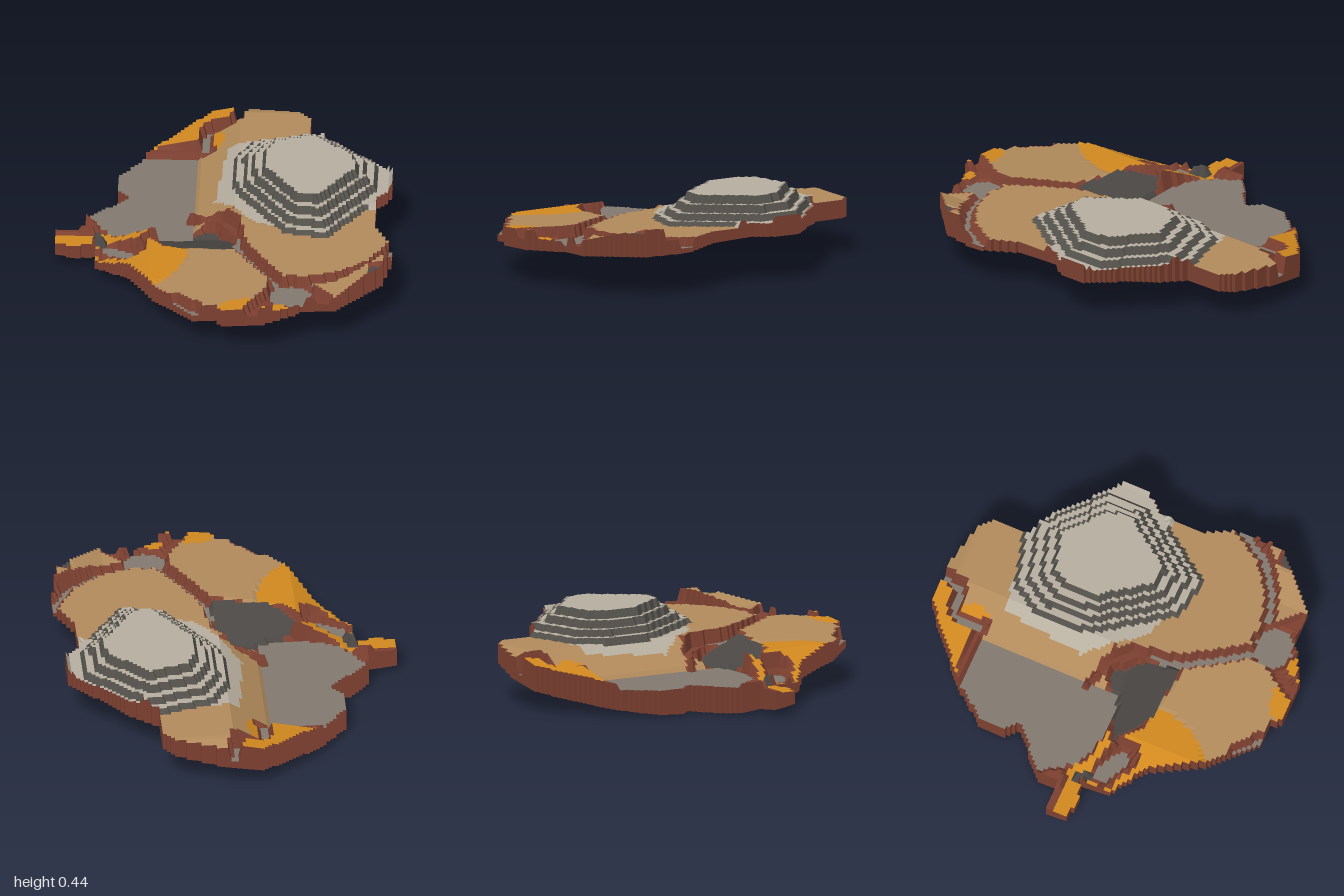
import * as THREE from 'three';
import { mergeVertices } from 'three/addons/utils/BufferGeometryUtils.js';

const STEP = 0.02, N = 100;
const { clamp } = THREE.MathUtils;

const COLOURS = {
  sand: 0xb18a5b, ochre: 0xd0881f, slate: 0x827970, paleStone: 0xb6ae9f, terraceStone: 0x54514b,
  darkRock: 0x4a4744, redEarth: 0x7c4030, underEarth: 0x5a2c20
};

// coastline, clockwise seen from above (x, z pairs)
const COAST = [-.1, -1.01, .06, -1.01, .37, -.93, .43, -.87, .43, -.67, .57, -.6, .89, -.3, .88, -.17, .8, -.06, .8, .18,
  .91, .4, .85, .65, .6, .89, .43, .89, .2, 1.01, 0, 1.01, -.02, .95, -.15, .94, -.35, .75, -.52, .42, -.69, .3, -.7, .12,
  -.82, .17, -.91, .13, -.91, .03, -.77, .02, -.76, -.1, -.52, -.3, -.6, -.37, -.6, -.5, -.45, -.7];

// top outline of the terraced hill; lower tiers are scaled copies
const HILL = [.24, -.45, .46, -.51, .68, -.32, .69, -.16, .5, .11, .36, .08, .19, -.16, .18, -.35];
const tier = s => HILL.map((v, i) => i % 2 ? -.19 + (v + .19) * s : .43 + (v - .43) * s);

// smooth underside: a bowl that climbs towards +x
function bottom(x, z) {
  const rise = .1275 * (1 - Math.cos(Math.PI * (x + .6) / 1.5));
  const d = z + .15;
  const side = d > 0 ? .165 * (1 - Math.exp(-3 * d * d)) : .1 * d * d;
  return rise + side * (1 - rise / .21);
}

// area tests
function inside(p, x, z) {
  let hit = false;
  for (let i = 0, j = p.length - 2; i < p.length; j = i, i += 2) {
    if ((p[i + 1] > z) !== (p[j + 1] > z) &&
      x < (p[j] - p[i]) * (z - p[i + 1]) / (p[j + 1] - p[i + 1]) + p[i]) hit = !hit;
  }
  return hit;
}
const poly = (...p) => (x, z) => inside(p, x, z);
const oval = (cx, cz, rx, rz) => (x, z) => Math.hypot((x - cx) / rx, (z - cz) / rz) < 1;
const path = (w, ...p) => (x, z) => {
  for (let i = 0; i + 3 < p.length; i += 2) {
    const dx = p[i + 2] - p[i], dz = p[i + 3] - p[i + 1];
    const t = clamp(((x - p[i]) * dx + (z - p[i + 1]) * dz) / (dx * dx + dz * dz), 0, 1);
    if (Math.hypot(x - p[i] - dx * t, z - p[i + 1] - dz * t) < w) return true;
  }
  return false;
};

// ground heights of the larger plates
const flat = y => () => y;
const northGround = (x, z) => .3 - Math.max(0, .04 - x) * .66 - Math.max(0, -.93 - z) * .4;
const southGround = x => .285 + .09 * x;
const westGround = x => clamp(.25 + (x + .42) * .5, .13, .26);
const northOchreGround = x => .235 + (x + .2) * .22;
const rockGround = (x, z) => clamp(.155 + (z - .12) * .45, .15, .275);

// regions in order of priority: the first whose area holds a cell claims it
const regions = [];
function region(name, top, area, height, wall = 'redEarth') {
  regions.push({ name, top, area, wall, height: (x, z) => Math.max(height(x, z), bottom(x, z) + .02) });
}

// hill and its pale aprons
[.445, .402, .362, .328].forEach((y, i) => {
  const outline = tier(1.03 + i * .21);
  region('terrace' + (i + 1), 'paleStone', (x, z) => inside(outline, x, z), flat(y), 'terraceStone');
});
region('eastApron', 'paleStone', (x, z) => x > .42 && z < .02 && z > -.68,
  x => .3 + clamp((x - .6) * .24, 0, .065), 'paleStone');
region('westApron', 'paleStone', poly(-.02, -.62, -.07, -.15, .14, .14, .3, .2, .3, -.65), northGround);

// ravines
region('ravineFloor', 'slate', oval(.37, .79, .11, .1), flat(.24));
region('upperRavine', 'redEarth', path(.025, -.19, -.06, -.08, 0, .04, .13), (x, z) => .215 + .04 * z);
region('mainRavine', 'slate', path(.017, .04, .13, .08, .37, .29, .7), (x, z) => .215 + .04 * z);
region('eastRavine', 'slate', path(.017, .45, .72, .64, .66, .8, .55, .9, .38), flat(.26));
region('southEastRavine', 'redEarth', path(.02, .47, .78, .56, .88), flat(.26));
region('southRavine', 'redEarth', path(.022, .28, .82, .16, 1), flat(.25));
region('northCleft', 'slate', path(.017, .04, -1, .02, -.89, -.13, -.87, -.15, -.68), flat(.18));
region('northBank', 'redEarth', path(.02, -.42, -.7, -.12, -.69), flat(.18));
region('southWestCleft', 'slate', path(.025, -.3, .82, -.14, .95), flat(.21));

// west end and basin
region('westBank', 'redEarth', path(.03, -.76, -.08, -.7, .02, -.92, .04), x => x < -.78 ? .14 : .17);
const basinOval = oval(-.35, -.3, .5, .44);
region('basin', 'slate', (x, z) => x < -.17 && z > -.69 && basinOval(x, z), flat(.145));
region('westPool', 'slate', path(.045, -.62, .22, -.51, .28), flat(.13));
region('westPoolBank', 'redEarth', path(.065, -.63, .24, -.5, .29), flat(.165));
region('westRock', 'darkRock', path(.03, -.69, .1, -.66, .16), flat(.18), 'darkRock');
region('rockSlope', 'darkRock', poly(-.43, .21, -.09, .03, .02, .13, .08, .38, -.25, .36), rockGround, 'darkRock');
const westOval = oval(-.5, .35, .3, .4);
region('westOchre', 'ochre', (x, z) => z > 0 && (x < -.6 || westOval(x, z)), westGround);

// wide plates
region('northOchre', 'ochre', (x, z) => z < -.69 && x < (z < -.88 ? .02 : -.1), northOchreGround);
region('cleftOchre', 'ochre', oval(-.09, -.76, .05, .08), northGround);
region('southOchre', 'ochre', oval(.13, .99, .15, .1), southGround);
region('southEastOchre', 'ochre', oval(.33, .92, .13, .05), flat(.265));
region('southEastRock', 'darkRock', oval(.82, .69, .04, .06), flat(.35), 'darkRock');
region('southEastPlate', 'sand', (x, z) => x > .44 && z > 1.044 - x * .6, x => .3 + clamp((x - .6) * .32, 0, .075));
region('southWestPlate', 'sand', (x, z) => z > .3 && x < Math.min(.26, z * .66 - .18), southGround);
region('eastPlate', 'sand', (x, z) => z > 0 && x > -.05, x => .3 + .01 * x);
region('northPlate', 'sand', () => true, northGround);

export function createModel() {
  const group = new THREE.Group();
  const materials = {};
  for (const [name, color] of Object.entries(COLOURS)) {
    materials[name] = new THREE.MeshStandardMaterial({ color });
    materials[name].name = name;
  }

  const parts = {};
  function quad(name, material, a, b, c, d) {
    const part = parts[name] ??= { material, pos: [] };
    part.pos.push(...a, ...b, ...c, ...a, ...c, ...d);
  }

  // assign a region to each land cell
  const at = i => (i - N / 2) * STEP;
  const cells = Array.from({ length: N }, (_, i) => Array.from({ length: N }, (_, j) => {
    const x = at(i + .5), z = at(j + .5);
    return inside(COAST, x, z) ? regions.find(r => r.area(x, z)) : null;
  }));

  // a grid corner drops to the lowest region that touches it
  function ground(i, j) {
    const touching = [cells[i]?.[j], cells[i - 1]?.[j], cells[i]?.[j - 1], cells[i - 1]?.[j - 1]];
    return Math.min(...touching.filter(Boolean).map(r => r.height(at(i), at(j))));
  }

  for (let i = 0; i < N; i++) for (let j = 0; j < N; j++) {
    const cell = cells[i][j];
    if (!cell) continue;
    const corners = [[i, j], [i, j + 1], [i + 1, j + 1], [i + 1, j]];
    const top = corners.map(([a, b]) => [at(a), ground(a, b), at(b)]);
    const base = top.map(([x, , z]) => [x, bottom(x, z), z]);

    // cells that fall steeply become cliffs
    const steep = top.some(([x, y, z]) => cell.height(x, z) - y > .012);
    if (steep) quad(cell.wall + 'Cliffs', cell.wall, ...top);
    else quad(cell.name, cell.top, ...top);
    quad('underside', 'underEarth', base[3], base[2], base[1], base[0]);

    // outer skirt along the coast
    [[-1, 0], [0, 1], [1, 0], [0, -1]].forEach(([di, dj], k) => {
      if (cells[i + di]?.[j + dj]) return;
      const n = (k + 1) % 4;
      quad('outerSkirt', 'redEarth', top[k], base[k], base[n], top[n]);
    });
  }

  for (const [name, { material, pos }] of Object.entries(parts)) {
    let geometry = new THREE.BufferGeometry();
    geometry.setAttribute('position', new THREE.Float32BufferAttribute(pos, 3));
    if (name === 'underside') geometry = mergeVertices(geometry, 1e-4);
    geometry.computeVertexNormals();
    const mesh = new THREE.Mesh(geometry, materials[material]);
    mesh.name = name;
    group.add(mesh);
  }
  return group;
}
